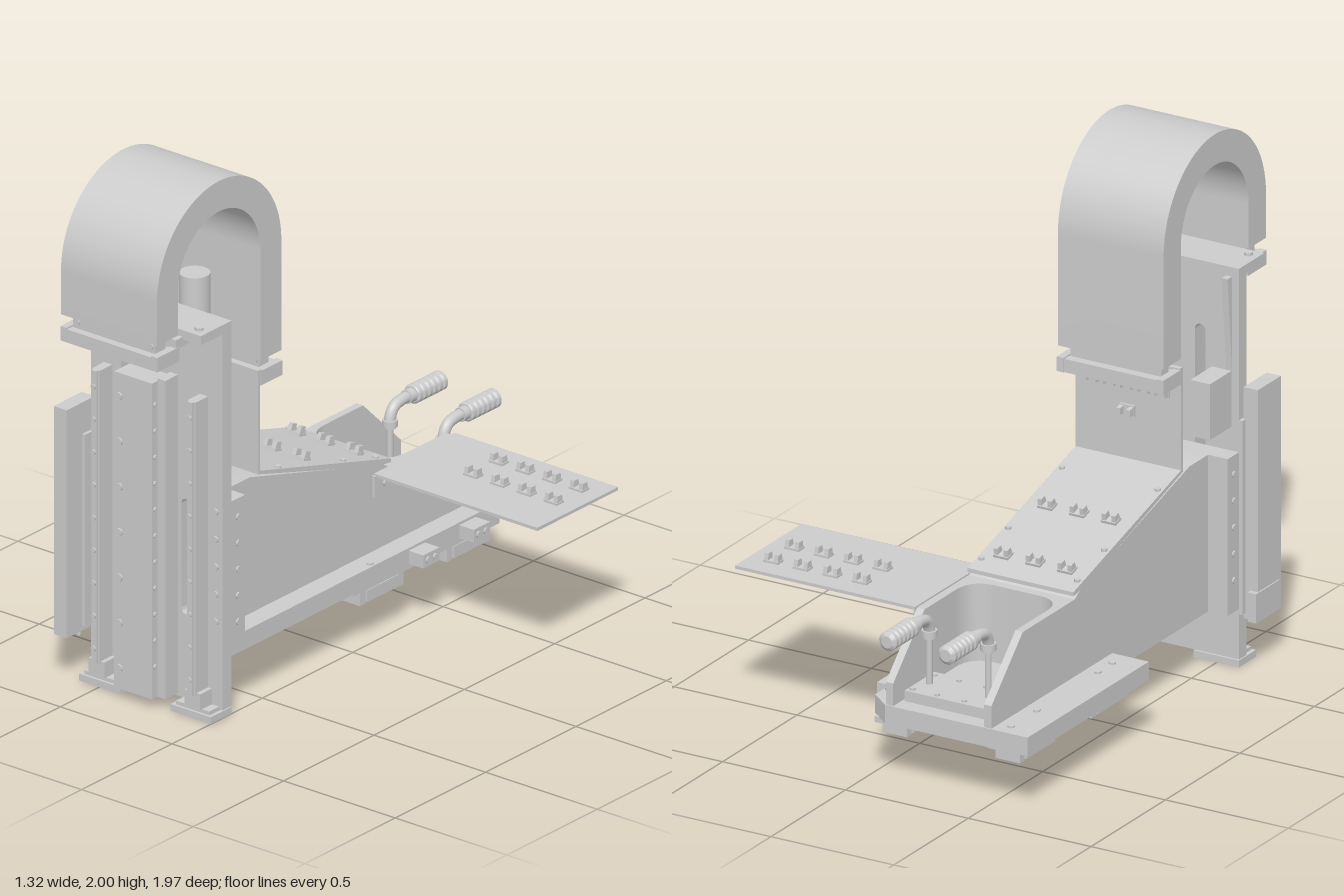
import * as THREE from 'three';
import { toCreasedNormals } from 'three/addons/utils/BufferGeometryUtils.js';

const grey = new THREE.MeshStandardMaterial({ color: 0xcccccc, side: THREE.DoubleSide });

export function createModel() {
  const root = new THREE.Group();
  root.name = 'verticalStageWithArm';

  const group = (name) => {
    const g = new THREE.Group();
    g.name = name;
    root.add(g);
    return g;
  };
  const add = (parent, name, geo) => {
    const m = new THREE.Mesh(geo, grey);
    m.name = name;
    parent.add(m);
    return m;
  };
  // Box from its limits on each axis
  const box = (parent, name, x0, x1, y0, y1, z0, z1) =>
    add(parent, name, new THREE.BoxGeometry(x1 - x0, y1 - y0, z1 - z0)
      .translate((x0 + x1) / 2, (y0 + y1) / 2, (z0 + z1) / 2));
  // Cylinder centred at a point along a chosen axis
  const cyl = (parent, name, r, len, x, y, z, axis = 'y', sides = 24) => {
    const g = new THREE.CylinderGeometry(r, r, len, sides);
    if (axis === 'x') g.rotateZ(Math.PI / 2);
    if (axis === 'z') g.rotateX(Math.PI / 2);
    return add(parent, name, g.translate(x, y, z));
  };
  const poly = (pts) => new THREE.Shape(pts.map(([a, b]) => new THREE.Vector2(a, b)));
  const extrude = (shape, depth) => toCreasedNormals(
    new THREE.ExtrudeGeometry(shape, { depth, bevelEnabled: false, curveSegments: 32 }), 0.5);
  // Side outline drawn as (-z, y), extruded across x
  const side = (parent, name, shape, x0, x1) =>
    add(parent, name, extrude(shape, x1 - x0).rotateY(Math.PI / 2).translate(x0, 0, 0));
  // Plan outline drawn as (x, -z), extruded upward
  const plan = (parent, name, shape, y0, y1) =>
    add(parent, name, extrude(shape, y1 - y0).rotateX(-Math.PI / 2).translate(0, y0, 0));
  const zy = (pts) => poly(pts.map(([z, y]) => [-z, y]));
  const xz = (pts) => poly(pts.map(([x, z]) => [x, -z]));

  // Column plate with two long round-ended slots
  const column = group('column');
  const plate = poly([[-0.59, 0.03], [0, 0.03], [0, 1.48], [-0.59, 1.48]]);
  for (const [x, y0, y1] of [[-0.433, 0.35, 1.26], [-0.163, 0.35, 0.79]]) {
    const r = 0.022, h = new THREE.Path();
    h.moveTo(x - r, y0 + r);
    h.absarc(x, y0 + r, r, Math.PI, Math.PI * 2, false);
    h.absarc(x, y1 - r, r, 0, Math.PI, false);
    h.closePath();
    plate.holes.push(h);
  }
  add(column, 'columnPlate', extrude(plate, 0.05).translate(0, 0, 0.67));
  box(column, 'topFlange', -0.59, 0, 1.465, 1.5, 0.67, 0.84);
  for (const x of [-0.55, -0.04]) {
    cyl(column, 'flangeScrew', 0.016, 0.012, x, 1.505, 0.8);
    side(column, 'gusset', zy([[0.67, 1.1], [0.67, 1.465], [0.64, 1.465]]), x - 0.012, x + 0.012);
  }

  // Linear rails, motor track, stops and feet
  for (const x of [-0.512, -0.083]) {
    box(column, 'rail', x - 0.018, x + 0.018, 0.09, 1.21, 0.72, 0.79);
    box(column, 'railLip', x - 0.011, x + 0.011, 0.09, 1.21, 0.79, 0.8);
    for (let i = 0; i < 9; i++) cyl(column, 'railScrew', 0.01, 0.008, x, 0.15 + i * 0.125, 0.802, 'z', 12);
    box(column, 'railStop', x - 0.035, x + 0.035, 0.04, 0.1, 0.72, 0.785);
  }
  box(column, 'motorTrack', -0.405, -0.235, 0.04, 1.245, 0.72, 0.82);
  box(column, 'trackStrip', -0.235, -0.2, 0.04, 1.255, 0.72, 0.79);
  for (let i = 0; i < 7; i++) cyl(column, 'trackScrew', 0.014, 0.01, -0.38, 0.12 + i * 0.173, 0.822, 'z', 12);
  for (let i = 0; i < 11; i++) cyl(column, 'trackSideScrew', 0.009, 0.01, -0.233, 0.16 + i * 0.1, 0.805, 'x', 10);
  for (const [a, b] of [[-0.59, -0.405], [-0.18, 0]]) {
    box(column, 'foot', a, b, 0, 0.026, 0.67, 0.785);
    box(column, 'footPad', a + 0.015, b - 0.015, 0.026, 0.04, 0.68, 0.775);
  }
  for (const x of [-0.555, -0.03])
    for (let i = 0; i < 5; i++) cyl(column, 'plateScrew', 0.012, 0.01, x, 0.36 + i * 0.105, 0.722, 'z', 12);

  // Position encoder on the right side
  const encoder = group('encoder');
  box(encoder, 'encoderBody', -0.655, -0.597, 0.18, 1.05, 0.69, 0.845);
  box(encoder, 'encoderMount', -0.605, -0.585, 0.2, 0.93, 0.67, 0.76);
  box(encoder, 'readHead', -0.66, -0.625, 0.18, 0.29, 0.67, 0.83);
  cyl(encoder, 'encoderLead', 0.008, 0.03, -0.62, 0.17, 0.75);

  // Arm: tapered body, tail walls around an open well, front flange
  const arm = group('arm');
  const L = -0.51, R = -0.08;
  side(arm, 'armBody', zy([[0.6, 0.22], [0.6, 0.81], [0.47, 0.81], [-0.27, 0.6], [-0.3, 0.58], [-0.3, 0.22]]), L, R);
  const tail = zy([[-0.3, 0.22], [-0.3, 0.58], [-0.65, 0.58], [-0.86, 0.375], [-0.86, 0.22]]);
  side(arm, 'tailWall', tail, L, L + 0.03);
  side(arm, 'tailWall', tail, R - 0.03, R);
  for (const s of [0, 1]) { // rounded inner corners of the well
    const x = s ? R - 0.03 : L + 0.03, d = s ? -1 : 1;
    const c = new THREE.Shape();
    c.moveTo(x, 0.3);
    c.lineTo(x + d * 0.185, 0.3);
    c.lineTo(x + d * 0.185, 0.335);
    c.lineTo(x + d * 0.1, 0.335);
    c.quadraticCurveTo(x, 0.335, x, 0.44);
    c.closePath();
    plan(arm, 'wellCorner', c, 0.29, 0.58);
  }
  box(arm, 'frontFlange', -0.59, 0, 0.22, 0.81, 0.595, 0.67);
  for (const x of [0, -0.59])
    for (let i = 0; i < 5; i++) cyl(arm, 'flangeBolt', 0.012, 0.012, x, 0.34 + i * 0.1, 0.635, 'x', 12);

  // Base plate: thin skin above a pocketed frame
  const outline = [[0, 0.6], [0, -0.8], [-0.08, -0.865], [-0.66, -0.865], [-0.66, -0.05], [L, -0.05], [L, 0.6]];
  plan(arm, 'baseSkin', xz(outline), 0.27, 0.29);
  const frame = xz(outline);
  for (const [x0, x1, z0, z1] of [[-0.48, -0.34, -0.02, 0.55], [-0.25, -0.11, -0.02, 0.55], [-0.47, -0.12, -0.82, -0.06]])
    frame.holes.push(new THREE.Path([[x0, -z0], [x1, -z0], [x1, -z1], [x0, -z1]].map(([a, b]) => new THREE.Vector2(a, b))));
  plan(arm, 'baseFrame', frame, 0.22, 0.27);
  for (const z of [-0.81, -0.64, -0.23, -0.13]) cyl(arm, 'baseScrew', 0.013, 0.01, -0.56, 0.292, z, 'y', 12);
  for (const z of [-0.74, -0.12]) cyl(arm, 'baseScrew', 0.013, 0.01, -0.02, 0.292, z, 'y', 12);

  // Bearing carriages and motor coil below the base
  const under = group('underside');
  box(under, 'coil', -0.4, -0.19, 0.19, 0.265, -0.78, -0.1);
  for (const x of [-0.53, -0.07]) {
    box(under, 'carriageRail', x - 0.055, x + 0.055, 0.2, 0.222, -0.83, -0.02);
    for (const z of [-0.185, -0.665]) {
      for (const s of [-1, 1]) {
        box(under, 'carriageCheek', x + s * 0.04 - 0.018, x + s * 0.04 + 0.018, 0.155, 0.2, z - 0.09, z + 0.09);
        box(under, 'carriageEnd', x - 0.05, x + 0.05, 0.148, 0.205, z + s * 0.105 - 0.015, z + s * 0.105 + 0.015);
      }
      box(under, 'carriageTop', x - 0.045, x + 0.045, 0.18, 0.205, z - 0.09, z + 0.09);
    }
  }
  for (const z of [-0.355, -0.635]) {
    box(under, 'sideStop', -0.005, 0.065, 0.23, 0.28, z - 0.045, z + 0.045);
    for (const d of [-0.02, 0.02]) cyl(under, 'stopScrew', 0.012, 0.01, 0.066, 0.255, z + d, 'x', 12);
  }

  // Cable clip: small base with two prongs
  const clip = (parent, x, y, z, tilt = 0) => {
    const g = new THREE.Group();
    g.name = 'cableClip';
    box(g, 'clipBase', -0.03, 0.03, 0, 0.01, -0.02, 0.02);
    for (const s of [-1, 1]) side(g, 'clipProng', zy([[-0.016, 0.01], [0.016, 0.01], [0.012, 0.034], [-0.012, 0.034]]), s * 0.02 - 0.008, s * 0.02 + 0.008);
    g.position.set(x, y, z);
    g.rotation.x = tilt;
    parent.add(g);
  };

  // Bent sheet cover, rising behind the chain end
  const cover = group('sheetCover');
  side(cover, 'coverSheet', zy([[0.425, 1.2], [0.425, 0.805], [-0.24, 0.605], [-0.31, 0.595], [-0.31, 0.61], [0.413, 0.815], [0.413, 1.2]]), L, R);
  const slope = -Math.atan2(0.205, 0.723);
  for (const x of [-0.425, -0.295, -0.165]) {
    clip(cover, x, 0.722, 0.085, slope);
    clip(cover, x, 0.64, -0.21, slope);
  }
  for (let i = 0; i < 5; i++) clip(cover, -0.435 + i * 0.07, 1.1, 0.413, -Math.PI / 2);
  clip(cover, -0.295, 1.0, 0.413, -Math.PI / 2);
  for (const x of [-0.49, -0.1])
    for (const [y, z] of [[0.682, -0.07], [0.782, 0.15 + 0.14], [0.63, -0.25]]) cyl(cover, 'coverScrew', 0.011, 0.01, x, y, z, 'y', 12);

  // Side tray with downturned flange and two rows of clips
  const tray = group('sideTray');
  box(tray, 'trayPlate', -0.078, 0.655, 0.574, 0.586, -0.66, -0.213);
  box(tray, 'trayFlange', -0.08, -0.066, 0.5, 0.58, -0.65, -0.205);
  for (const z of [-0.6, -0.43, -0.26]) cyl(tray, 'trayScrew', 0.012, 0.01, -0.063, 0.54, z, 'x', 12);
  for (let i = 0; i < 4; i++) for (const z of [-0.56, -0.42]) clip(tray, 0.2 + i * 0.12, 0.584, z);

  // Arched cable chain
  const chain = group('cableChain');
  const cz = 0.64, cy = 1.656, ro = 0.344, ri = 0.228;
  const arch = new THREE.Shape();
  arch.moveTo(-cz - ro, 1.49);
  arch.lineTo(-cz - ro, cy);
  arch.absarc(-cz, cy, ro, Math.PI, 0, true);
  arch.lineTo(-cz + ro, 1.235);
  arch.lineTo(-cz + ri, 1.235);
  arch.lineTo(-cz + ri, cy);
  arch.absarc(-cz, cy, ri, 0, Math.PI, false);
  arch.lineTo(-cz - ri, 1.49);
  arch.closePath();
  side(chain, 'chainArch', arch, L, R);
  for (const [y, z0, z1] of [[1.39, 0.865, 0.985], [1.14, 0.295, 0.41]]) {
    box(chain, 'endBracket', L, R, y, y + 0.05, z0, z1);
    box(chain, 'endNeck', L + 0.03, R - 0.03, y + 0.05, y + 0.105, z0 + 0.035, z1 - 0.03);
    for (const x of [L + 0.012, R - 0.012]) box(chain, 'endEar', x - 0.014, x + 0.014, y, y + 0.055, z0 - 0.004, z1);
    for (const x of [L + 0.05, R - 0.05]) cyl(chain, 'endScrew', 0.012, 0.012, x, y + 0.075, z1 - 0.03, 'z', 12);
  }
  box(chain, 'chainMount', L, R, 1.44, 1.475, 0.8, 0.88);
  box(chain, 'rearMount', L, R, 1.14, 1.2, 0.405, 0.425);

  // Balance cylinder standing on the arm
  const balance = group('balanceCylinder');
  const bx = -0.22, bz = 0.603;
  cyl(balance, 'cylinderBody', 0.055, 0.58, bx, 1.31, bz, 'y', 32);
  cyl(balance, 'cylinderCap', 0.042, 0.07, bx, 0.985, bz);
  cyl(balance, 'rodNut', 0.03, 0.035, bx, 0.93, bz, 'y', 6);
  cyl(balance, 'rod', 0.016, 0.15, bx, 0.87, bz);
  box(balance, 'clevis', bx - 0.05, bx + 0.05, 0.81, 0.885, 0.55, 0.66);
  box(balance, 'sideBracket', -0.56, -0.48, 0.9, 1.11, 0.525, 0.67);

  // Well shelf and the two ribbed cable connectors
  const plugs = group('connectors');
  box(plugs, 'wellShelf', -0.47, -0.12, 0.29, 0.33, -0.8, -0.6);
  for (const x of [-0.45, -0.35, -0.24, -0.14]) for (const z of [-0.78, -0.63]) cyl(plugs, 'shelfScrew', 0.01, 0.01, x, 0.333, z, 'y', 10);
  const ribs = [[0, 0]];
  for (let i = 0; i < 6; i++) {
    const a = i * 0.0275;
    ribs.push([0.03, a], [0.036, a + 0.005], [0.036, a + 0.02], [0.03, a + 0.0245]);
  }
  ribs.push([0.022, 0.167], [0, 0.167]);
  const ribGeo = toCreasedNormals(new THREE.LatheGeometry(ribs.map(([r, y]) => new THREE.Vector2(r, y)), 24), 0.5)
    .rotateX(-Math.PI / 2);
  for (const x of [-0.4, -0.16]) {
    add(plugs, 'connectorGrip', ribGeo).position.set(x, 0.585, -0.82);
    cyl(plugs, 'connectorNeck', 0.026, 0.03, x, 0.585, -0.805, 'z');
    const bend = new THREE.CatmullRomCurve3([[0.585, -0.82], [0.585, -0.76], [0.572, -0.72], [0.535, -0.7], [0.5, -0.7]]
      .map(([y, z]) => new THREE.Vector3(x, y, z)));
    add(plugs, 'connectorElbow', new THREE.TubeGeometry(bend, 20, 0.021, 16));
    cyl(plugs, 'elbowCollar', 0.028, 0.025, x, 0.52, -0.7);
    cyl(plugs, 'connectorLead', 0.012, 0.18, x, 0.415, -0.7, 'y', 12);
  }

  return root;
}
